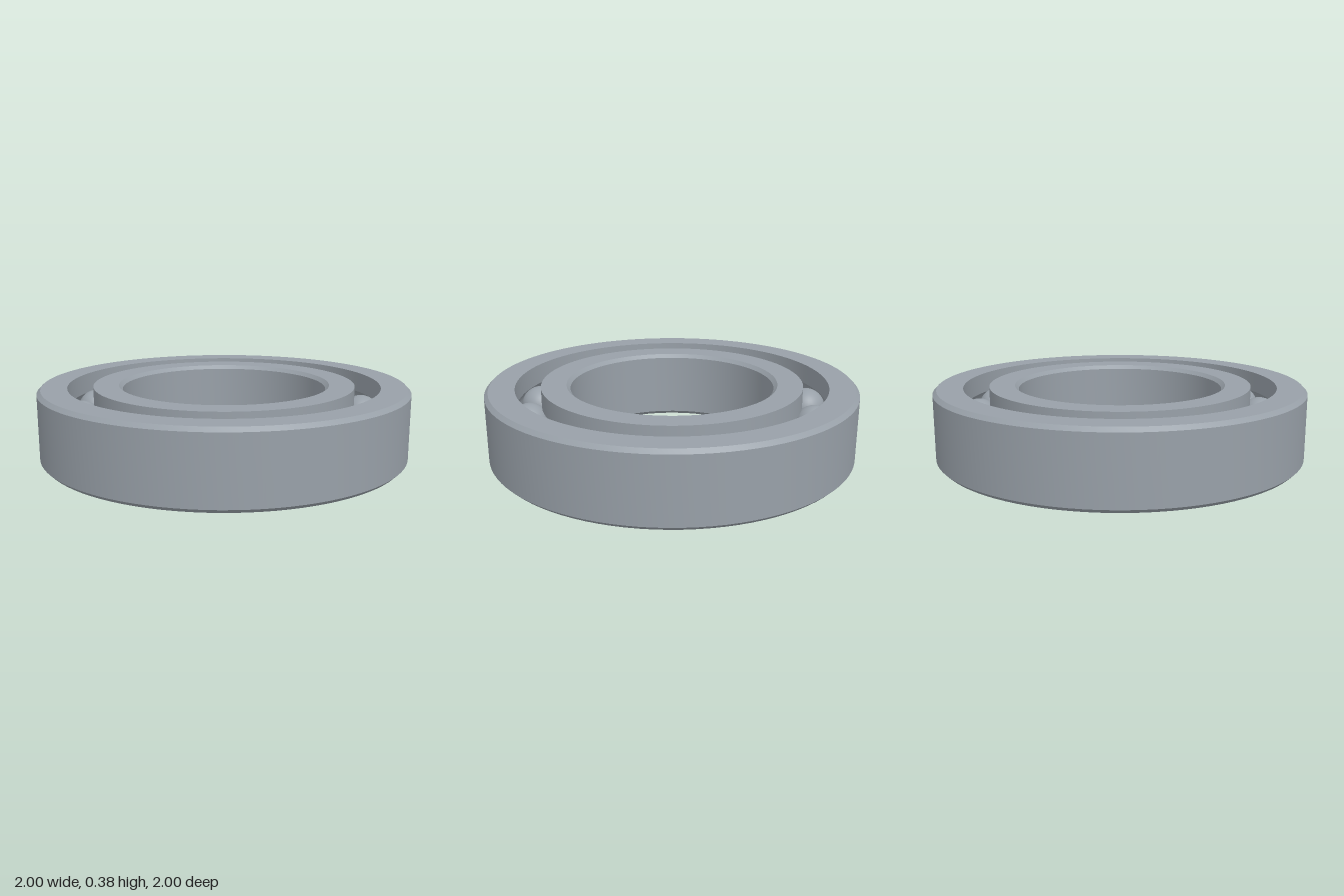
import * as THREE from 'three';
import { toCreasedNormals } from 'three/addons/utils/BufferGeometryUtils.js';

const HEIGHT = 0.385;
const MID = HEIGHT / 2;
const CHAMFER = 0.02;
const PITCH = 0.773;      // radius of the ball circle
const BALL = 0.105;
const GROOVE = 0.107;     // radius of the raceway groove
const BALL_COUNT = 16;

// Ring profile: chamfered on its plain wall, ball groove on its raceway wall.
// side = 1 for the outer ring, -1 for the inner ring.
function ringGeometry(plainR, raceR, side) {
  const c = CHAMFER * side;
  const pts = [
    [plainR - c, 0], [plainR, CHAMFER],
    [plainR, HEIGHT - CHAMFER], [plainR - c, HEIGHT],
    [raceR, HEIGHT],
  ];
  const half = Math.acos(Math.abs(raceR - PITCH) / GROOVE);
  const steps = 12;
  for (let i = 0; i <= steps; i++) {
    const a = half - (2 * half * i) / steps;
    pts.push([PITCH + side * GROOVE * Math.cos(a), MID + GROOVE * Math.sin(a)]);
  }
  pts.push([raceR, 0], [plainR - c, 0]);
  // keep the profile counter-clockwise so faces point outwards
  if (side < 0) pts.reverse();
  const profile = pts.map(([r, y]) => new THREE.Vector2(r, y));
  return toCreasedNormals(new THREE.LatheGeometry(profile, 96), 0.5);
}

export function createModel() {
  const bearing = new THREE.Group();
  bearing.name = 'ballBearing';
  const steel = new THREE.MeshStandardMaterial({ color: 0x98a0a8 });
  steel.name = 'steel grey';

  const add = (parent, name, geometry) => {
    const mesh = new THREE.Mesh(geometry, steel);
    mesh.name = name;
    parent.add(mesh);
    return mesh;
  };

  // Races
  add(bearing, 'outerRing', ringGeometry(1, 0.842, 1));
  add(bearing, 'innerRing', ringGeometry(0.55, 0.706, -1));

  // Balls
  const balls = new THREE.Group();
  balls.name = 'balls';
  bearing.add(balls);
  const sphere = new THREE.SphereGeometry(BALL, 32, 24);
  const start = THREE.MathUtils.degToRad(11.9);
  for (let i = 0; i < BALL_COUNT; i++) {
    const a = start + (i / BALL_COUNT) * Math.PI * 2;
    add(balls, 'ball' + (i + 1), sphere)
      .position.set(PITCH * Math.cos(a), MID, PITCH * Math.sin(a));
  }
  return bearing;
}
